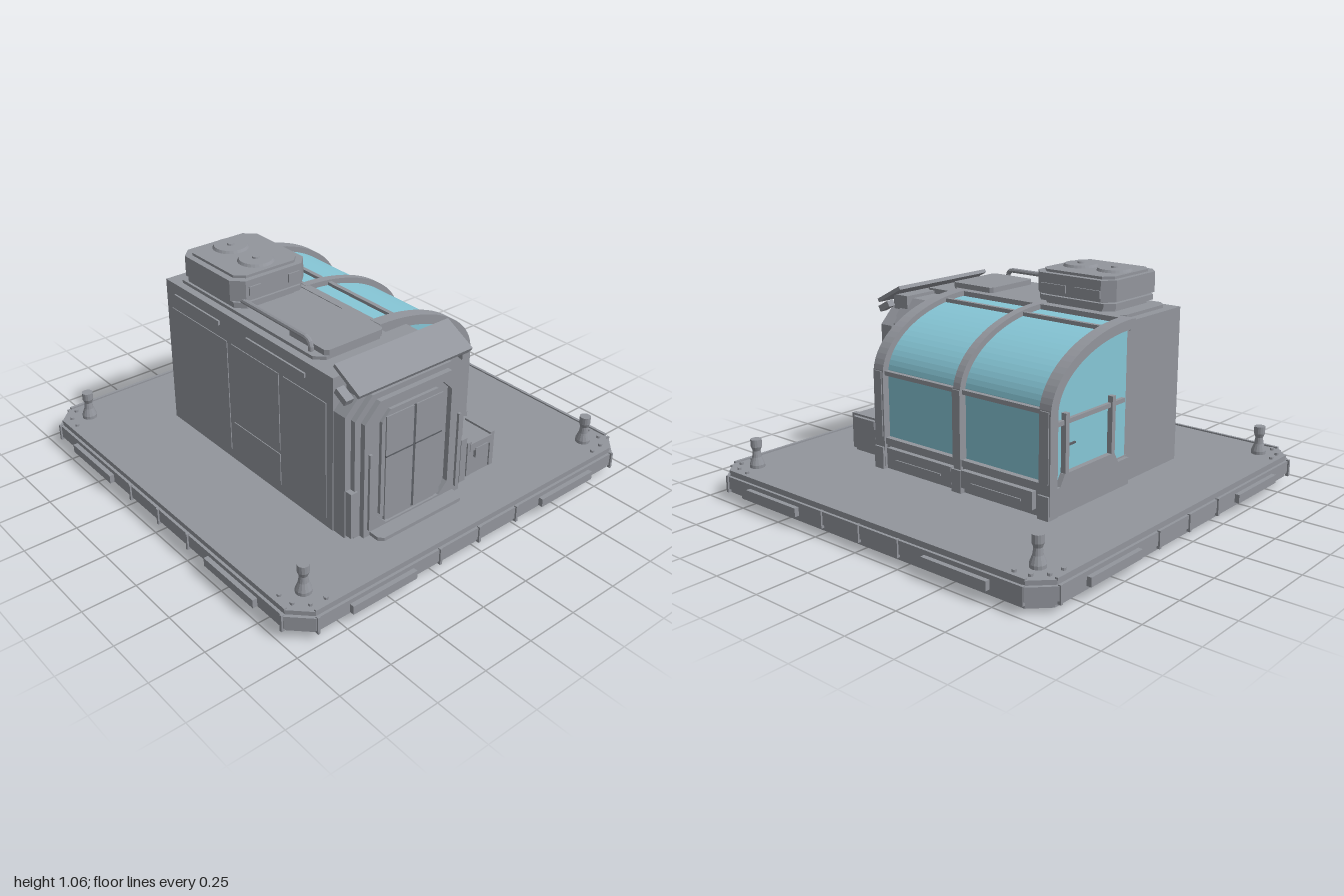
import * as THREE from 'three';

const grey = new THREE.MeshStandardMaterial({ name: 'hull grey', color: 0x92959c, flatShading: true });
const dark = new THREE.MeshStandardMaterial({ name: 'seam grey', color: 0x5c5f65, flatShading: true });
const blue = new THREE.MeshStandardMaterial({ name: 'window blue', color: 0x86c6d6, flatShading: true });

export function createModel() {
  const root = new THREE.Group();
  root.name = 'habitatModule';

  const add = (name, geo, mat = grey) => {
    const m = new THREE.Mesh(geo, mat);
    m.name = name;
    root.add(m);
    return m;
  };
  // Box given by its limits on each axis
  const box = (name, x0, x1, y0, y1, z0, z1, mat) => {
    const m = add(name, new THREE.BoxGeometry(x1 - x0, y1 - y0, z1 - z0), mat);
    m.position.set((x0 + x1) / 2, (y0 + y1) / 2, (z0 + z1) / 2);
    return m;
  };
  const poly = pts => new THREE.Shape(pts.map(p => new THREE.Vector2(p[0], p[1])));
  // Outline in x/y pushed from z0 to z1
  const prism = (name, shape, z0, z1, mat) => {
    const g = new THREE.ExtrudeGeometry(shape, { depth: z1 - z0, bevelEnabled: false });
    g.translate(0, 0, z0);
    return add(name, g, mat);
  };
  const octagon = (x0, x1, y0, y1, c) => [
    [x0 + c, y0], [x1 - c, y0], [x1, y0 + c], [x1, y1 - c], [x1 - c, y1], [x0 + c, y1], [x0, y1 - c], [x0, y0 + c]];
  // Horizontal slab with cut corners
  const slab = (name, x0, x1, y0, y1, z0, z1, c, mat) => {
    const g = new THREE.ExtrudeGeometry(poly(octagon(x0, x1, -z1, -z0, c)), { depth: y1 - y0, bevelEnabled: false });
    g.rotateX(-Math.PI / 2);
    g.translate(0, y0, 0);
    return add(name, g, mat);
  };
  // Upright outline with cut top corners
  const arch = (x0, x1, y0, y1, c) => [[x0, y0], [x1, y0], [x1, y1 - c], [x1 - c, y1], [x0 + c, y1], [x0, y1 - c]];
  const cyl = (name, r0, r1, h, x, y, z, n = 16, mat = grey) => {
    const m = add(name, new THREE.CylinderGeometry(r0, r1, h, n), mat);
    m.position.set(x, y, z);
    return m;
  };

  // Foundation
  slab('baseFoot', -0.93, 0.93, 0, 0.04, -0.93, 0.93, 0.08);
  slab('baseSlab', -0.965, 0.965, 0.035, 0.135, -0.965, 0.965, 0.085);
  slab('baseRim', -0.978, 0.978, 0.055, 0.115, -0.978, 0.978, 0.09);
  for (const s of [-1, 1]) {
    for (const t of [-0.55, 0.55]) {
      box('edgeBumper', t - 0.17, t + 0.17, 0.055, 0.095, s * 0.985 - 0.015, s * 0.985 + 0.015);
      box('sideBumper', s * 0.985 - 0.015, s * 0.985 + 0.015, 0.055, 0.095, t - 0.17, t + 0.17);
    }
    for (const t of [-0.88, -0.23, 0, 0.23, 0.88]) {
      box('edgeRib', t - 0.006, t + 0.006, 0.04, 0.12, s * 0.978 - 0.008, s * 0.978 + 0.008);
      box('sideRib', s * 0.978 - 0.008, s * 0.978 + 0.008, 0.04, 0.12, t - 0.006, t + 0.006);
    }
    box('edgeLip', -0.88, 0.88, 0.13, 0.142, s * 0.96 - 0.007, s * 0.96 + 0.007);
    box('sideLip', s * 0.96 - 0.007, s * 0.96 + 0.007, 0.13, 0.142, -0.88, 0.88);
    // Corner bollards with bolts
    for (const t of [-1, 1]) {
      const profile = [[0, 0], [0.035, 0], [0.035, 0.015], [0.022, 0.05], [0.018, 0.08], [0.026, 0.1], [0.026, 0.135], [0, 0.135]];
      const post = add('cornerPost', new THREE.LatheGeometry(profile.map(p => new THREE.Vector2(...p)), 14));
      post.position.set(s * 0.84, 0.135, t * 0.84);
      for (const [a, b] of [[0.93, 0.8], [0.8, 0.93], [0.92, 0.87], [0.87, 0.92]])
        cyl('cornerBolt', 0.01, 0.01, 0.012, s * a, 0.14, t * b, 8);
    }
  }

  // Main cabin and its outer wall panels
  box('cabin', -0.51, -0.09, 0.13, 0.87, -0.575, 0.62);
  for (const [z0, z1, y0, y1] of [[-0.53, -0.1, 0.18, 0.74], [-0.07, 0.27, 0.36, 0.74], [-0.07, 0.27, 0.18, 0.34], [0.3, 0.58, 0.18, 0.74]])
    box('wallPanel', -0.514, -0.505, y0, y1, z0, z1);
  for (const [z0, z1] of [[-0.5, -0.15], [0.05, 0.45]])
    box('wallVent', -0.519, -0.505, 0.8, 0.82, z0, z1);

  // Roof deck, hatch and conduit
  slab('roofDeck', -0.475, -0.11, 0.865, 0.885, -0.53, 0.49, 0.04);
  slab('roofHatch', -0.435, -0.125, 0.88, 0.91, 0.235, 0.49, 0.015);
  const path = new THREE.CurvePath();
  const bends = [[0.935, -0.06], [0.935, 0.39], [0.915, 0.41], [0.87, 0.41]].map(p => new THREE.Vector3(-0.45, ...p));
  for (let i = 0; i < 3; i++) path.add(new THREE.LineCurve3(bends[i], bends[i + 1]));
  add('roofPipe', new THREE.TubeGeometry(path, 30, 0.012, 8));

  // Air unit with two fans
  slab('airUnitFoot', -0.46, -0.13, 0.87, 0.94, -0.45, -0.06, 0.04);
  slab('airUnitBase', -0.48, -0.11, 0.9, 0.925, -0.47, -0.04, 0.04);
  slab('airUnitBody', -0.495, -0.095, 0.935, 1.03, -0.475, -0.035, 0.05);
  slab('airUnitLid', -0.465, -0.125, 1.03, 1.042, -0.45, -0.06, 0.04);
  for (const z of [-0.355, -0.165]) {
    cyl('fanRing', 0.075, 0.085, 0.016, -0.295, 1.046, z, 28);
    cyl('fanHub', 0.015, 0.018, 0.012, -0.295, 1.056, z, 12);
    box('airUnitGrille', -0.1, -0.087, 0.95, 0.985, z - 0.07, z + 0.07);
  }
  for (const x of [-0.4, -0.19]) box('airUnitLatch', x - 0.03, x + 0.03, 0.96, 1, -0.04, -0.028);

  // Curved window bay; outlines share one rule
  const bayOutline = (a, b, bottom, left = -0.09) => {
    const pts = [[left, bottom], [-0.09 + a, bottom]];
    for (let i = 0; i <= 20; i++) {
      const t = i / 20 * Math.PI / 2;
      pts.push([-0.09 + a * Math.cos(t), 0.58 + b * Math.sin(t)]);
    }
    if (left < -0.09) pts.push([left, 0.58 + b]);
    return pts;
  };
  prism('bayGlass', poly(bayOutline(0.53, 0.285, 0.2)), -0.575, 0.395, blue);
  const outer = bayOutline(0.565, 0.31, 0.135).slice(1);
  const inner = bayOutline(0.515, 0.265, 0.135).slice(1);
  const hoop = poly([...outer, ...inner.reverse()]);
  for (const [z0, z1] of [[-0.605, -0.545], [-0.11, -0.07], [0.365, 0.425]]) prism('bayHoop', hoop, z0, z1);
  box('bayTopRail', -0.11, -0.07, 0.84, 0.888, -0.605, 0.425);
  box('bayRoofBar', 0.035, 0.055, 0.83, 0.872, -0.57, 0.39);
  box('bayMidRail', 0.425, 0.462, 0.58, 0.6, -0.57, 0.39);
  box('baySillRail', 0.42, 0.468, 0.255, 0.285, -0.57, 0.39);
  box('bayPlinth', -0.1, 0.46, 0.13, 0.265, -0.58, 0.4);
  for (const [z0, z1] of [[-0.52, -0.12], [-0.06, 0.34]]) {
    box('bayDrawer', 0.45, 0.485, 0.165, 0.245, z0, z1);
    box('drawerGrip', 0.48, 0.491, 0.19, 0.2, z0 + 0.06, z1 - 0.06);
  }
  for (const z of [-0.575, -0.09, 0.395]) {
    box('hoopPost', 0.43, 0.48, 0.29, 0.6, z - 0.022, z + 0.022);
    box('hoopFoot', 0.43, 0.485, 0.135, 0.24, z - 0.028, z + 0.028);
  }
  // Bay end walls
  const skirt = poly([[-0.09, 0.135], [0.46, 0.135], [0.46, 0.26], [0.4, 0.26], [0.37, 0.31], [0.02, 0.31], [-0.01, 0.26], [-0.09, 0.26]]);
  for (const [z, s] of [[0.4, 1], [-0.58, -1]]) {
    prism('endSkirt', skirt, z - 0.02, z + 0.02);
    box('endCrossbar', -0.06, 0.42, 0.52, 0.54, z - 0.012, z + 0.012);
    for (const x of [0.03, 0.355]) box('endUpright', x - 0.012, x + 0.012, 0.26, 0.57, z - 0.02, z + 0.02);
    box('windowHandle', 0.28, 0.34, 0.42, 0.428, z - 0.004 + s * 0.003, z + 0.004 + s * 0.003, dark);
  }

  // Entrance block
  prism('entranceBlock', poly([[-0.3, 0.13], [0.155, 0.13], [0.155, 0.73], [0.06, 0.845], [-0.3, 0.845]]), 0.4, 0.63);
  box('entranceSidePanel', 0.15, 0.162, 0.37, 0.67, 0.43, 0.63);
  prism('portal', poly(arch(-0.505, 0.17, 0.13, 0.82, 0.1)), 0.62, 0.69);
  prism('portalStep', poly(arch(-0.475, 0.14, 0.13, 0.79, 0.09)), 0.685, 0.715);
  const face = poly(arch(-0.445, 0.11, 0.135, 0.765, 0.08));
  face.holes.push(new THREE.Path(octagon(-0.37, 0.035, 0.16, 0.725, 0.05).map(p => new THREE.Vector2(...p))));
  prism('doorSurround', face, 0.71, 0.74);
  prism('doorFrame', poly(octagon(-0.345, 0.01, 0.16, 0.7, 0.045)), 0.71, 0.73);
  for (const [x0, x1] of [[-0.325, -0.174], [-0.161, -0.01]]) {
    box('doorLeaf', x0, x1, 0.17, 0.675, 0.725, 0.736);
    box('doorSeam', x0, x1, 0.482, 0.488, 0.73, 0.738, dark);
  }
  box('doorGap', -0.174, -0.161, 0.17, 0.675, 0.726, 0.733, dark);
  for (const s of [-1, 1]) {
    const c = -0.1675;
    const post = (name, x, w, y0, y1, z0, z1) => box(name, c + s * x - w, c + s * x + w, y0, y1, z0, z1);
    post('entranceHandrail', 0.25, 0.007, 0.17, 0.54, 0.735, 0.752);
    post('portalPad', 0.315, 0.018, 0.15, 0.37, 0.68, 0.725);
  }
  slab('doorStep', -0.41, 0.07, 0.13, 0.152, 0.7, 0.81, 0.02);

  // Sloped awning
  box('awningSupport', -0.44, 0.1, 0.79, 0.86, 0.58, 0.67);
  const awning = add('awning', new THREE.BoxGeometry(0.62, 0.018, 0.17));
  awning.position.set(-0.17, 0.865, 0.665);
  awning.rotation.x = 0.49;
  for (const x of [-0.495, 0.15]) {
    const wing = add('awningWing', new THREE.BoxGeometry(0.04, 0.03, 0.07));
    wing.position.set(x, 0.81, 0.67);
    wing.rotation.x = 0.49;
  }

  // Supply crate
  slab('crate', 0.19, 0.375, 0.13, 0.265, 0.51, 0.695, 0.025);
  slab('crateLid', 0.18, 0.385, 0.265, 0.305, 0.5, 0.705, 0.035);
  box('crateLatch', 0.245, 0.32, 0.225, 0.275, 0.69, 0.71);
  for (const x of [0.21, 0.355]) box('crateRib', x - 0.012, x + 0.012, 0.14, 0.315, 0.54, 0.702);

  return root;
}
